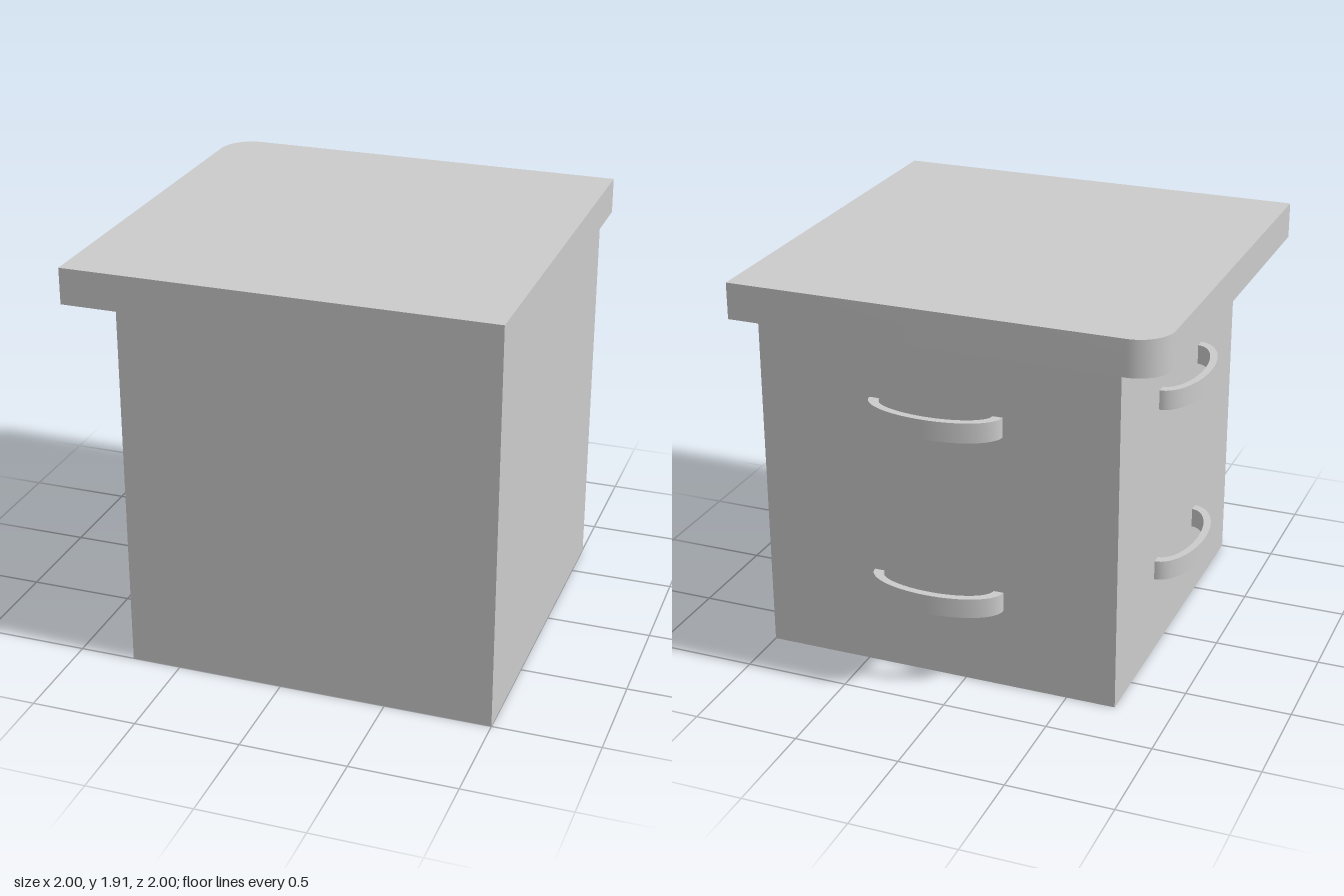
import * as THREE from 'three';
import { toCreasedNormals } from 'three/addons/utils/BufferGeometryUtils.js';

const material = new THREE.MeshStandardMaterial({ color: 0xcccccc });

const BACK = -0.735; // plane of both drawer faces
const CENTRE = (1 + BACK) / 2;
const BODY_TOP = 1.745;

// Extrude a plan outline (x, -z) upwards
function extrudeUp(shape, height, curveSegments) {
  const g = new THREE.ExtrudeGeometry(shape, { depth: height, bevelEnabled: false, curveSegments });
  g.rotateX(-Math.PI / 2);
  return toCreasedNormals(g, Math.PI / 6);
}

function addMesh(parent, name, geometry) {
  const mesh = new THREE.Mesh(geometry, material);
  mesh.name = name;
  parent.add(mesh);
  return mesh;
}

export function createModel() {
  const model = new THREE.Group();
  model.name = 'cornerCabinet';

  // Cabinet body
  const size = 1 - BACK;
  addMesh(model, 'body', new THREE.BoxGeometry(size, BODY_TOP, size))
    .position.set(CENTRE, BODY_TOP / 2, CENTRE);

  // Worktop with one rounded corner
  const r = 0.16;
  const top = new THREE.Shape();
  top.moveTo(-1, -1);
  top.lineTo(1, -1);
  top.lineTo(1, 1);
  top.lineTo(-1 + r, 1);
  top.absarc(-1 + r, 1 - r, r, Math.PI / 2, Math.PI, false);
  top.closePath();
  addMesh(model, 'worktop', extrudeUp(top, 0.17, 10)).position.y = BODY_TOP;

  // Bow handle: half an elliptical ring
  const bow = new THREE.Shape();
  bow.moveTo(0.322, 0);
  bow.absellipse(0, 0, 0.322, 0.15, 0, Math.PI, false, 0);
  bow.lineTo(-0.275, 0);
  bow.absellipse(0, 0, 0.275, 0.115, Math.PI, 0, true, 0);
  bow.closePath();
  const handle = extrudeUp(bow, 0.095, 16);

  // Two handles on each of the two adjoining faces
  [['lower', 0.39], ['upper', 1.26]].forEach(([level, y]) => {
    addMesh(model, level + 'BackHandle', handle).position.set(CENTRE, y, BACK);
    const side = addMesh(model, level + 'SideHandle', handle);
    side.position.set(BACK, y, CENTRE);
    side.rotation.y = Math.PI / 2;
  });

  return model;
}
